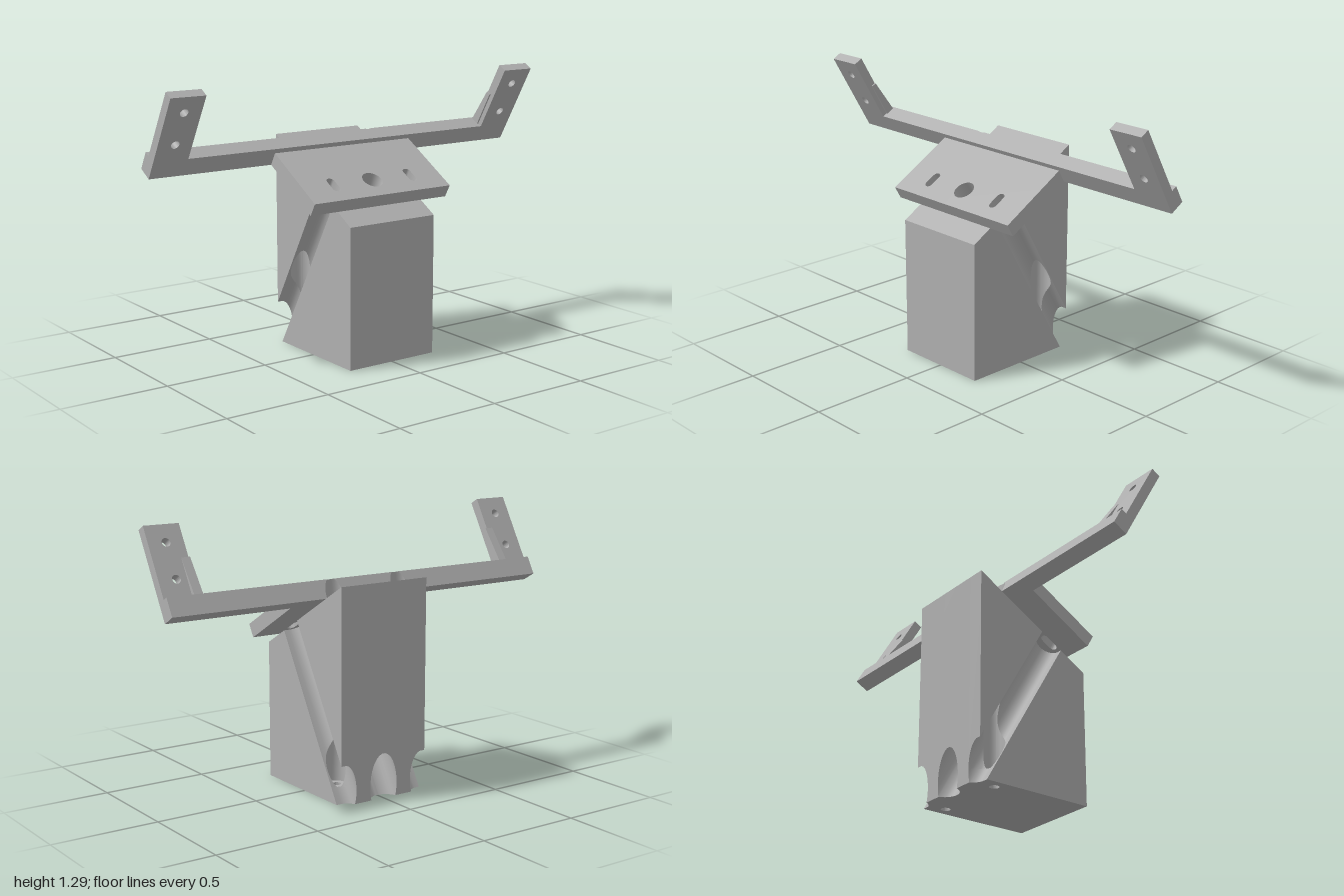
import * as THREE from 'three';
import { toCreasedNormals } from 'three/addons/utils/BufferGeometryUtils.js';

// Axes: world, plus U (down the 30 degree slope) and N (square to the slope).
const X = new THREE.Vector3(1, 0, 0), Y = new THREE.Vector3(0, 1, 0), Z = new THREE.Vector3(0, 0, 1);
const U = new THREE.Vector3(Math.cos(Math.PI / 6), -0.5, 0);
const N = new THREE.Vector3(0.5, Math.cos(Math.PI / 6), 0);
const EPS = 1e-6;

// Convex prism as a list of outward polygons; counter-clockwise profile in (a, b), extruded along c.
function prism(profile, [a, b, c], from, to) {
  const at = ([p, q], h) => new THREE.Vector3().addScaledVector(a, p).addScaledVector(b, q).addScaledVector(c, h);
  const faces = [profile.map(p => at(p, from)).reverse(), profile.map(p => at(p, to))];
  profile.forEach((p, i) => {
    const q = profile[(i + 1) % profile.length];
    faces.push([at(p, from), at(q, from), at(q, to), at(p, to)]);
  });
  return faces;
}

const rect = (a0, a1, b0, b1) => [[a0, b0], [a1, b0], [a1, b1], [a0, b1]];

// Circle, optionally stretched into a rounded slot by la or lb.
function oval(ca, cb, r, la = 0, lb = 0, n = 28) {
  return Array.from({ length: n }, (_, i) => {
    const t = (i + 0.5) / n * Math.PI * 2, p = Math.cos(t), q = Math.sin(t);
    return [ca + r * p + Math.sign(p) * la, cb + r * q + Math.sign(q) * lb];
  });
}

// Cut a convex polygon by a plane into its front and back parts.
function split(poly, plane) {
  const d = poly.map(p => plane.distanceToPoint(p));
  if (d.every(v => v > -EPS)) return [poly, null];
  if (d.every(v => v < EPS)) return [null, poly];
  const front = [], back = [];
  poly.forEach((p, i) => {
    const j = (i + 1) % poly.length;
    if (d[i] > -EPS) front.push(p);
    if (d[i] < EPS) back.push(p);
    if (Math.abs(d[i]) > EPS && Math.abs(d[j]) > EPS && d[i] * d[j] < 0) {
      const m = p.clone().lerp(poly[j], d[i] / (d[i] - d[j]));
      front.push(m);
      back.push(m);
    }
  });
  return [front, back];
}

// Parts of a polygon outside a convex solid, and the part inside it.
function divide(poly, solid) {
  const outside = [];
  let rest = poly;
  for (const f of solid) {
    const [front, back] = split(rest, new THREE.Plane().setFromCoplanarPoints(f[0], f[1], f[2]));
    if (front) outside.push(front);
    rest = back;
    if (!rest) return { outside: [poly], inside: null };
  }
  return { outside, inside: rest };
}

// Convex body with convex cutters removed.
function carve(body, cutters) {
  const trim = (poly, list) => list.reduce((ps, c) => ps.flatMap(p => divide(p, c).outside), [poly]);
  const polys = body.flatMap(f => trim(f, cutters));
  for (const cutter of cutters) {
    const others = cutters.filter(c => c !== cutter);
    for (const f of cutter) {
      const { inside } = divide(f, body);
      if (inside) polys.push(...trim(inside, others).map(p => [...p].reverse()));
    }
  }
  return polys;
}

function toGeometry(polys) {
  const pos = [];
  for (const p of polys) {
    for (let i = 1; i < p.length - 1; i++) {
      for (const v of [p[0], p[i], p[i + 1]]) pos.push(v.x, v.y, v.z);
    }
  }
  const geo = new THREE.BufferGeometry();
  geo.setAttribute('position', new THREE.Float32BufferAttribute(pos, 3));
  return toCreasedNormals(geo, 0.4);
}

export function createModel() {
  const model = new THREE.Group();
  model.name = 'angledBracketStand';
  const grey = new THREE.MeshStandardMaterial({ color: 0xb0b0b0 });
  grey.name = 'grey';
  const add = (name, body, cutters = []) => {
    const mesh = new THREE.Mesh(toGeometry(carve(body, cutters)), grey);
    mesh.name = name;
    model.add(mesh);
  };

  const world = [X, Y, Z], slope = [U, N, Z], alongN = [Z, U, N], alongU = [N, Z, U], upright = [Z, X, Y];
  const sides = [-1, 1];
  const seat = 0.716;      // height of the slope along N
  const holeU = -0.289;    // row of plate holes along U

  // Upright screw bores with narrow through holes
  const bores = sides.map(s => prism(oval(s * 0.18, -0.18, 0.048), upright, 0.07, 1.3));
  const screwHoles = sides.map(s => prism(oval(s * 0.18, -0.18, 0.022), upright, -0.1, 0.1));

  // Base block with a slanted centre bore and open side grooves
  const grooves = sides.map(s => prism(oval(s * 0.265, holeU, 0.0635, 0.05), alongN, -0.5, 1));
  const centreBore = prism(oval(0, holeU, 0.075), alongN, -0.5, 1);
  add('baseBlock',
    prism([[-0.298, 0], [0.296, 0], [0.296, 0.656], [-0.298, 0.999]], world, -0.235, 0.235),
    [...bores, ...screwHoles, ...grooves, centreBore]);

  // Mounting plate with centre hole and two slots
  add('mountingPlate',
    prism(rect(-0.5465, -0.182, seat, 0.782), slope, -0.38, 0.38),
    [prism(oval(0, holeU, 0.049), alongN, 0.5, 1),
      ...sides.map(s => prism(oval(s * 0.215, holeU, 0.02, 0, 0.025), alongN, 0.5, 1))]);

  // Long crossbar, notched by the screw bores
  add('crossbar', prism(rect(-0.6215, -0.5465, seat, 0.806), slope, -1, 1), bores);

  // End arms, each with two holes and a small gusset
  for (const s of sides) {
    const span = (a, b) => s > 0 ? [a, b] : [-b, -a];
    const name = s > 0 ? 'front' : 'back';
    add(name + 'Arm', prism(rect(-0.593, -0.5465, 0.806, 1.142), slope, ...span(0.83, 1)),
      [0.891, 1.059].map(v => prism(oval(v, s * 0.915, 0.02), alongU, -0.8, -0.4)));
    add(name + 'Gusset',
      prism([[-0.613, 0.806], [-0.57, 0.806], [-0.57, 0.985], [-0.593, 0.985]], slope, ...span(0.822, 0.865)));
  }
  return model;
}
